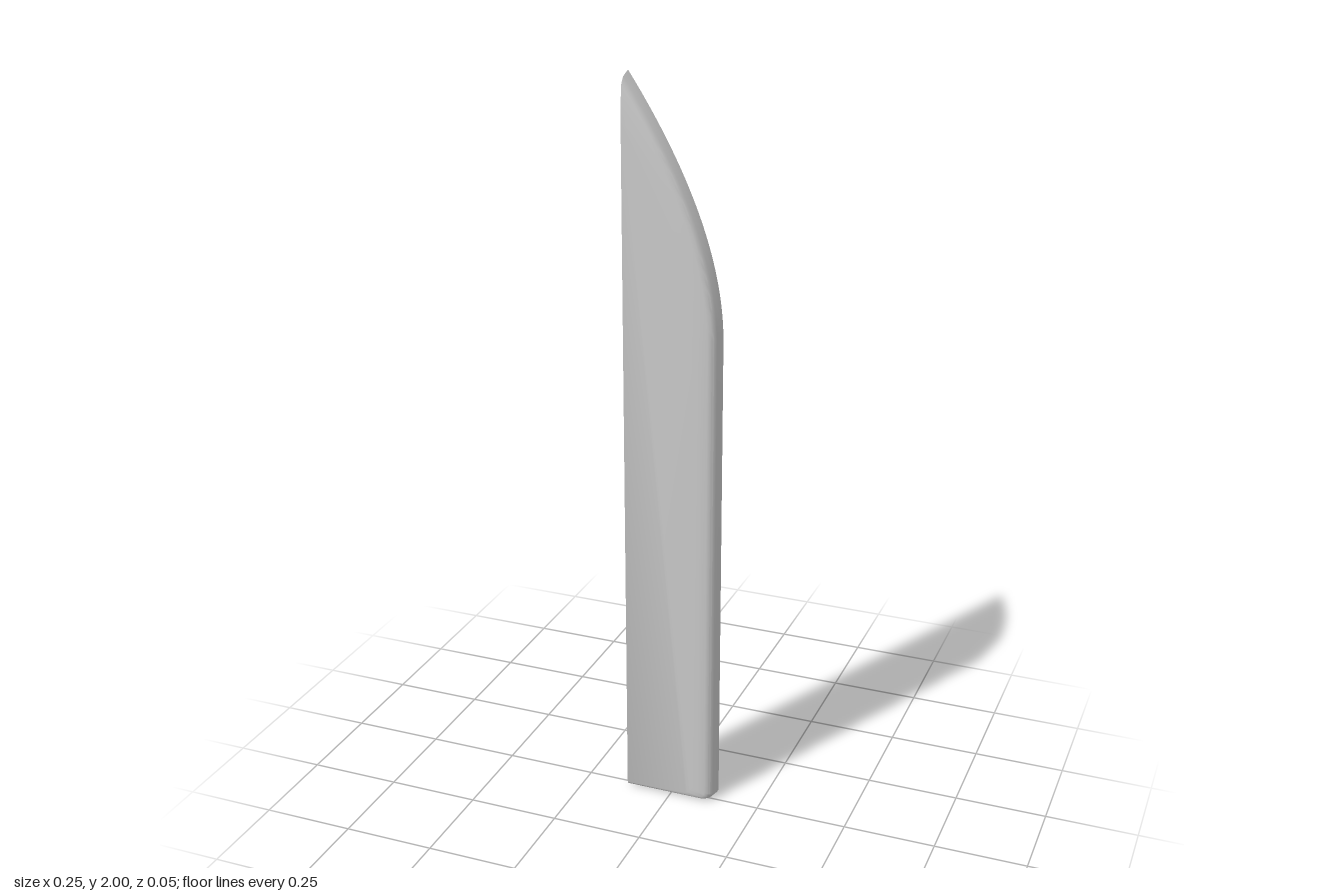
import * as THREE from 'three';
import { toCreasedNormals } from 'three/addons/utils/BufferGeometryUtils.js';

const HALF = 0.127;

// Blade outline, counterclockwise from the straight edge's foot, inset by d on the rounded sides
function outline(d) {
  const x = HALF - d, y = d * 0.25, r = 0.02;
  const points = [new THREE.Vector2(-HALF, y)];
  for (let i = 0; i <= 5; i++) {
    const a = (i / 5) * Math.PI / 2;
    points.push(new THREE.Vector2(x - r + r * Math.sin(a), y + r - r * Math.cos(a)));
  }
  const curve = new THREE.QuadraticBezierCurve(
    new THREE.Vector2(x, 1.33),
    new THREE.Vector2(x, 1.63 - 0.31 * d),
    new THREE.Vector2(-HALF, 2 - 1.77 * d)
  );
  return points.concat(curve.getPoints(28));
}

function bladeGeometry() {
  // Edge rounding from back to front: [z, inset]
  const levels = [
    [-0.026, 0], [0.004, 0.006], [0.012, 0.011], [0.017, 0.016],
    [0.020, 0.026], [0.0225, 0.045], [0.024, 0.066]
  ];
  const positions = [], index = [];
  let n = 0;
  levels.forEach(([z, d], level) => {
    const ring = outline(d);
    n = ring.length;
    ring.forEach((p, i) => {
      // The back tapers toward the foot of the straight edge
      positions.push(p.x, p.y, level === 0 && i === 0 ? 0 : z);
    });
  });

  // Side walls
  for (let l = 0; l < levels.length - 1; l++) {
    for (let i = 0; i < n; i++) {
      const a = l * n + i, b = l * n + (i + 1) % n;
      index.push(a, b, b + n, a, b + n, a + n);
    }
  }

  // Back and front faces, fanned from the tip
  const front = (levels.length - 1) * n, tip = n - 1;
  for (let i = 0; i < n - 2; i++) {
    index.push(tip, i + 1, i);
    index.push(front + tip, front + i, front + i + 1);
  }

  const geometry = new THREE.BufferGeometry();
  geometry.setAttribute('position', new THREE.Float32BufferAttribute(positions, 3));
  geometry.setIndex(index);
  return toCreasedNormals(geometry, 0.6);
}

export function createModel() {
  const group = new THREE.Group();
  const blade = new THREE.Mesh(
    bladeGeometry(),
    new THREE.MeshStandardMaterial({ color: 0xcccccc })
  );
  blade.name = 'blade';
  group.add(blade);
  return group;
}
